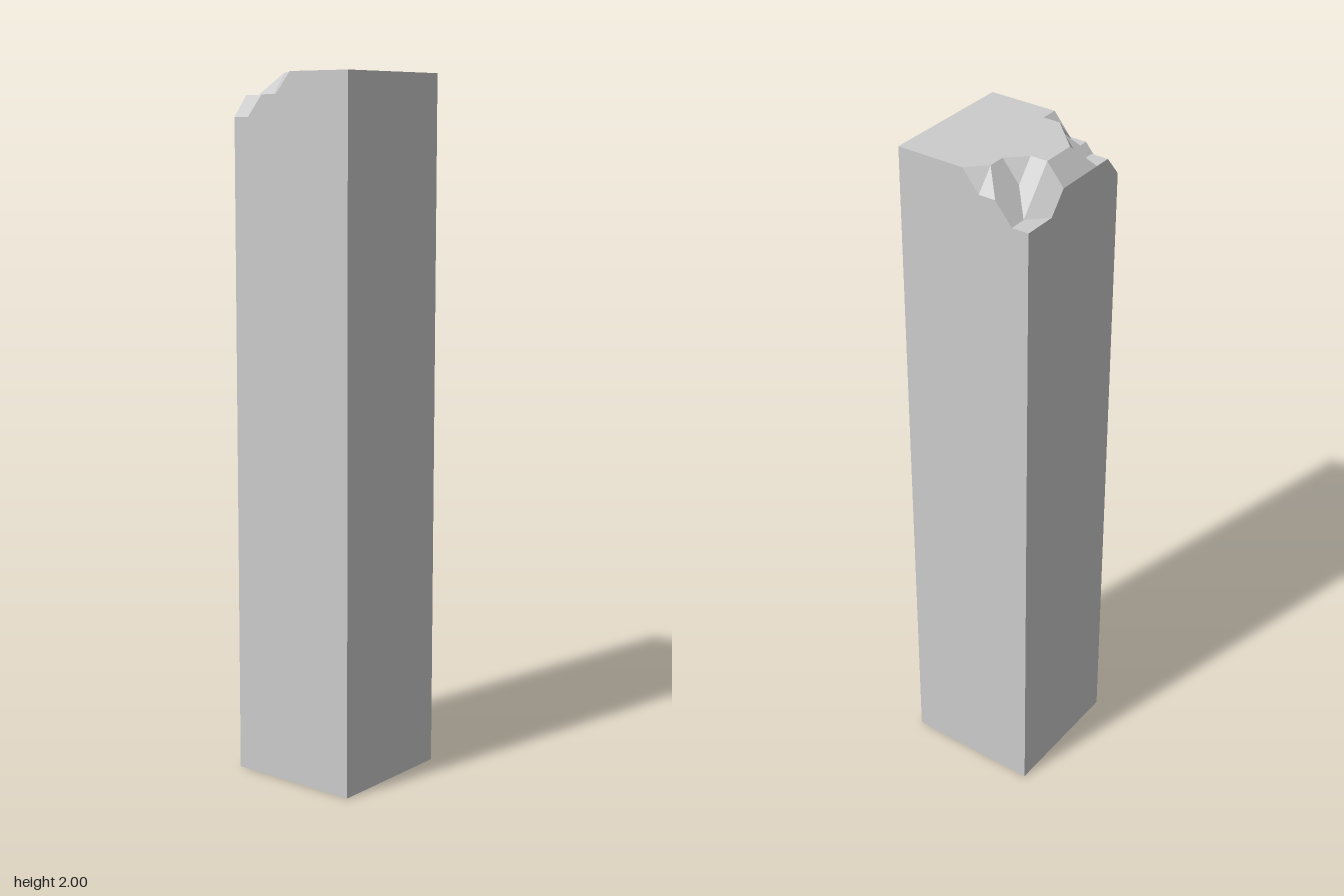
import * as THREE from 'three';

const N = 8, CELL = 0.05, HALF = 0.2, TOP = 2, STEP = 0.06;

// Chipped depth in steps, rows from back to front, columns from -x; the rest is intact
const CHIPS = ['22110', '22100', '21100', '10000', '10000', '10000', '11000', '11100', '22110'];
// Cells (column,row) whose diagonal runs from back -x to front +x
const TURNED = new Set(['1,1', '2,0', '1,5', '2,6', '2,7']);

function topPoint(i, j) {
  const depth = Number(CHIPS[j][i] ?? 0);
  return [i * CELL - HALF, TOP - depth * STEP, j * CELL - HALF];
}

function surface(name, triangles) {
  const geometry = new THREE.BufferGeometry();
  geometry.setAttribute('position', new THREE.Float32BufferAttribute(triangles.flat(2), 3));
  geometry.computeVertexNormals();
  const mesh = new THREE.Mesh(geometry, new THREE.MeshStandardMaterial({ color: 0xcccccc, flatShading: true }));
  mesh.name = name;
  return mesh;
}

export function createModel() {
  const group = new THREE.Group();
  group.name = 'chippedPillar';

  // Top with two broken corners
  const top = [];
  for (let j = 0; j < N; j++) {
    for (let i = 0; i < N; i++) {
      const a = topPoint(i, j), b = topPoint(i + 1, j);
      const c = topPoint(i, j + 1), d = topPoint(i + 1, j + 1);
      if (TURNED.has(`${i},${j}`)) top.push([a, c, d], [a, d, b]);
      else top.push([a, c, b], [b, c, d]);
    }
  }
  group.add(surface('chippedTop', top));

  // Four sides, each following the rim of the top
  const rims = {
    frontSide: (k) => topPoint(k, N),
    leftSide: (k) => topPoint(N, N - k),
    backSide: (k) => topPoint(N - k, 0),
    rightSide: (k) => topPoint(0, k),
  };
  for (const [name, rim] of Object.entries(rims)) {
    const wall = [];
    for (let k = 0; k < N; k++) {
      const p = rim(k), q = rim(k + 1);
      const p0 = [p[0], 0, p[2]], q0 = [q[0], 0, q[2]];
      wall.push([p0, q0, q], [p0, q, p]);
    }
    group.add(surface(name, wall));
  }

  // Flat underside
  const h = HALF;
  const [a, b, c, d] = [[-h, 0, -h], [h, 0, -h], [h, 0, h], [-h, 0, h]];
  group.add(surface('underside', [[a, b, c], [a, c, d]]));

  return group;
}
